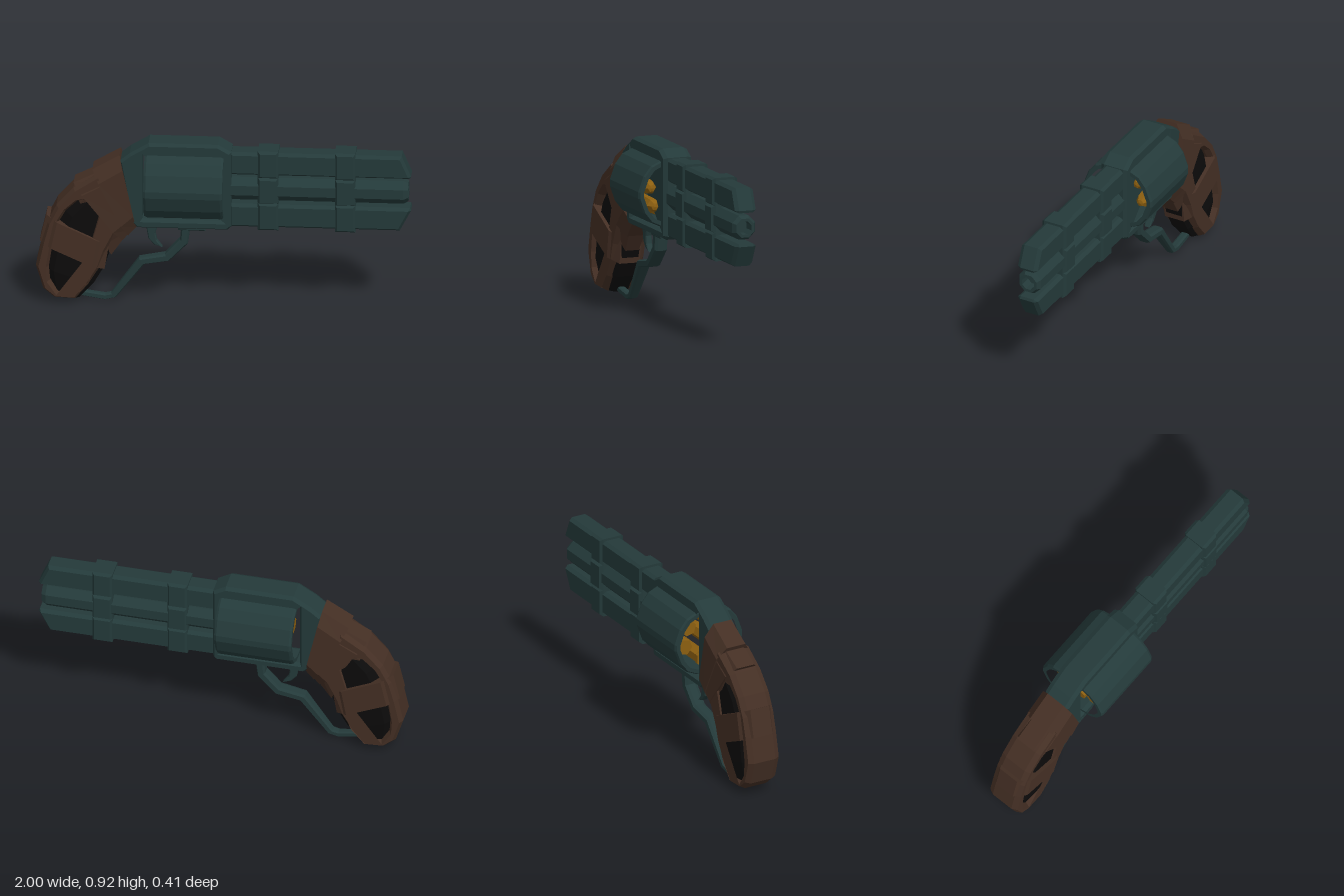
import * as THREE from 'three';

const mat = (name, color) => {
  const m = new THREE.MeshStandardMaterial({ color });
  m.name = name;
  return m;
};

export function createModel() {
  const group = new THREE.Group();
  const steel = mat('dark teal steel', 0x243a3a);
  const leather = mat('brown leather', 0x442f24);
  const black = mat('black grip', 0x0c0b0b);
  const brass = mat('brass', 0x8c5f10);

  // Adds a faceted mesh
  const add = (name, geo, material) => {
    const flat = geo.index ? geo.toNonIndexed() : geo;
    flat.computeVertexNormals();
    const mesh = new THREE.Mesh(flat, material);
    mesh.name = name;
    group.add(mesh);
    return mesh;
  };
  const pts = (list) => list.map(([x, y]) => new THREE.Vector2(x, y));

  // Chamfered plate centred on local z = 0, with optional holes
  const plate = (outline, half, size, thick, holes = []) => {
    const shape = new THREE.Shape(pts(outline));
    holes.forEach((h) => shape.holes.push(new THREE.Path(pts(h))));
    const geo = new THREE.ExtrudeGeometry(shape, {
      depth: 2 * (half - thick), bevelEnabled: true, bevelSegments: 1,
      bevelSize: size, bevelThickness: thick, bevelOffset: -size, steps: 1,
    });
    return geo.translate(0, 0, thick - half);
  };
  const rect = (x0, y0, x1, y1) => [[x0, y0], [x1, y0], [x1, y1], [x0, y1]];

  // Lofts eight-sided sections; station = [back x, back y, front x, front y, half width]
  const loft = (stations) => {
    const ring = [[0, -0.55], [0.18, -1], [0.82, -1], [1, -0.55], [1, 0.55], [0.82, 1], [0.18, 1], [0, 0.55]];
    const pos = [], idx = [], n = ring.length, last = (stations.length - 1) * n;
    stations.forEach(([bx, by, fx, fy, w]) =>
      ring.forEach(([t, z]) => pos.push(bx + (fx - bx) * t, by + (fy - by) * t, z * w)));
    for (let i = 0; i < last; i += n) {
      for (let j = 0; j < n; j++) {
        const a = i + j, b = i + (j + 1) % n;
        idx.push(a, b, b + n, a, b + n, a + n);
      }
    }
    for (let j = 1; j < n - 1; j++) idx.push(0, j + 1, j, last, last + j, last + j + 1);
    const geo = new THREE.BufferGeometry();
    geo.setAttribute('position', new THREE.Float32BufferAttribute(pos, 3));
    geo.setIndex(idx);
    return geo;
  };

  // Frame with the cylinder window
  add('frame', plate(
    [[-0.555, 0.82], [-0.49, 0.47], [-0.46, 0.44], [0.02, 0.44], [0.04, 0.46], [0.04, 0.885], [-0.03, 0.925], [-0.4, 0.925], [-0.5, 0.865]],
    0.08, 0.012, 0.022, [rect(-0.435, 0.49, 0.012, 0.87)]), steel);

  // Hollow cylinder shell, extruded along x
  const quarter = [[0.07, 0.182], [0.135, 0.153], [0.177, 0.1], [0.207, 0.018]];
  const half = [...quarter, ...quarter.map(([z, y]) => [z, -y]).reverse()];
  const outer = [...half, ...half.map(([z, y]) => [-z, y]).reverse()];
  const inner = outer.map(([z, y]) => [z * 0.89, y * 0.89]);
  add('cylinderShell', plate(outer, 0.21, 0.007, 0.012, [inner])
    .rotateY(Math.PI / 2).translate(-0.21, 0.685, 0), steel);

  // Cartridges inside the cylinder
  const round = [[0, -0.16], [0.046, -0.16], [0.046, -0.14], [0.041, -0.13], [0.041, 0.1], [0.036, 0.14], [0.02, 0.165], [0, 0.17]];
  [14, 78, 141, 194, 270, 325].forEach((deg, i) => {
    const a = THREE.MathUtils.degToRad(deg);
    const geo = new THREE.LatheGeometry(pts(round), 6, i * 0.4).rotateZ(-Math.PI / 2);
    add('cartridge', geo.translate(-0.205, 0.682 + 0.122 * Math.sin(a), 0.122 * Math.cos(a)), brass);
  });

  // Barrel with a bored muzzle
  const bore = [[0, 0], [0.07, 0], [0.07, 0.92], [0.055, 0.945], [0.038, 0.945], [0.038, 0.88], [0, 0.88]];
  add('barrel', new THREE.LatheGeometry(pts(bore), 8, Math.PI / 8)
    .rotateZ(-Math.PI / 2).translate(0.035, 0.668, 0), steel);

  // Upper and lower rails with slanted tips
  add('upperRail', plate([[0.03, 0.752], [0.99, 0.752], [0.995, 0.765], [0.945, 0.88], [0.03, 0.88]], 0.06, 0.014, 0.02), steel);
  add('lowerRail', plate([[0.03, 0.455], [0.935, 0.455], [0.995, 0.57], [0.99, 0.585], [0.03, 0.585]], 0.06, 0.014, 0.02), steel);

  // Bands clasping rails and barrel
  for (const x of [0.18, 0.59]) {
    add('upperBand', plate(rect(x, 0.74, x + 0.11, 0.893), 0.072, 0.012, 0.016), steel);
    add('barrelBand', plate(rect(x, 0.594, x + 0.11, 0.744), 0.076, 0.012, 0.022), steel);
    add('lowerBand', plate(rect(x, 0.443, x + 0.11, 0.598), 0.072, 0.012, 0.016), steel);
  }

  // Grip core
  add('gripCore', loft([
    [-0.68, 0.71, -0.51, 0.46, 0.08],
    [-0.85, 0.53, -0.59, 0.35, 0.085],
    [-0.93, 0.35, -0.635, 0.21, 0.086],
    [-0.95, 0.2, -0.69, 0.115, 0.086],
    [-0.91, 0.045, -0.77, 0.02, 0.06],
  ]), black);

  // Leather rim around the grip side panels
  add('gripRim', plate(
    [[-0.66, 0.75], [-0.8, 0.66], [-0.89, 0.56], [-0.94, 0.46], [-0.97, 0.35], [-1, 0.21], [-0.96, 0.08], [-0.9, 0.03],
      [-0.79, 0.025], [-0.72, 0.11], [-0.66, 0.21], [-0.63, 0.3], [-0.57, 0.42], [-0.55, 0.5]],
    0.094, 0.015, 0.03,
    [[[-0.78, 0.585], [-0.71, 0.6], [-0.67, 0.52], [-0.71, 0.38], [-0.7, 0.25], [-0.735, 0.13], [-0.8, 0.055],
      [-0.88, 0.065], [-0.925, 0.13], [-0.93, 0.21], [-0.91, 0.34], [-0.88, 0.46], [-0.84, 0.53]]]), leather);

  // Overlapping leather wraps
  add('neckWrap', loft([[-0.555, 0.85, -0.465, 0.44, 0.1], [-0.7, 0.765, -0.51, 0.39, 0.103]]), leather);
  add('middleWrap', loft([[-0.64, 0.765, -0.49, 0.42, 0.096], [-0.8, 0.685, -0.54, 0.36, 0.098]]), leather);
  add('lowerWrap', loft([[-0.77, 0.67, -0.5, 0.42, 0.09], [-0.8, 0.64, -0.6, 0.27, 0.07]]), leather);
  add('gripStrap', loft([[-0.945, 0.5, -0.61, 0.345, 0.106], [-0.98, 0.35, -0.635, 0.195, 0.106]]), leather);

  // Trigger guard, swept along a bent path: x, y, half thickness, half width
  const path = [[-0.205, 0.44, 0.024, 0.036], [-0.215, 0.35, 0.024, 0.036], [-0.305, 0.255, 0.022, 0.036],
    [-0.44, 0.23, 0.022, 0.034], [-0.59, 0.028, 0.017, 0.024], [-0.635, 0.017, 0.016, 0.022], [-0.82, 0.045, 0.014, 0.02]];
  add('triggerGuard', loft(path.map(([x, y, h, w], i) => {
    const p = path[Math.max(i - 1, 0)], q = path[Math.min(i + 1, path.length - 1)];
    const d = new THREE.Vector2(p[1] - q[1], q[0] - p[0]).setLength(h);
    return [x - d.x, y - d.y, x + d.x, y + d.y, w];
  })), steel);
  add('guardMount', plate(rect(-0.245, 0.418, -0.1, 0.46), 0.042, 0.008, 0.01), steel);

  // Trigger
  add('trigger', plate(
    [[-0.42, 0.45], [-0.405, 0.36], [-0.375, 0.325], [-0.33, 0.31], [-0.36, 0.35], [-0.368, 0.39], [-0.35, 0.45]],
    0.018, 0.005, 0.006), steel);

  return group;
}
